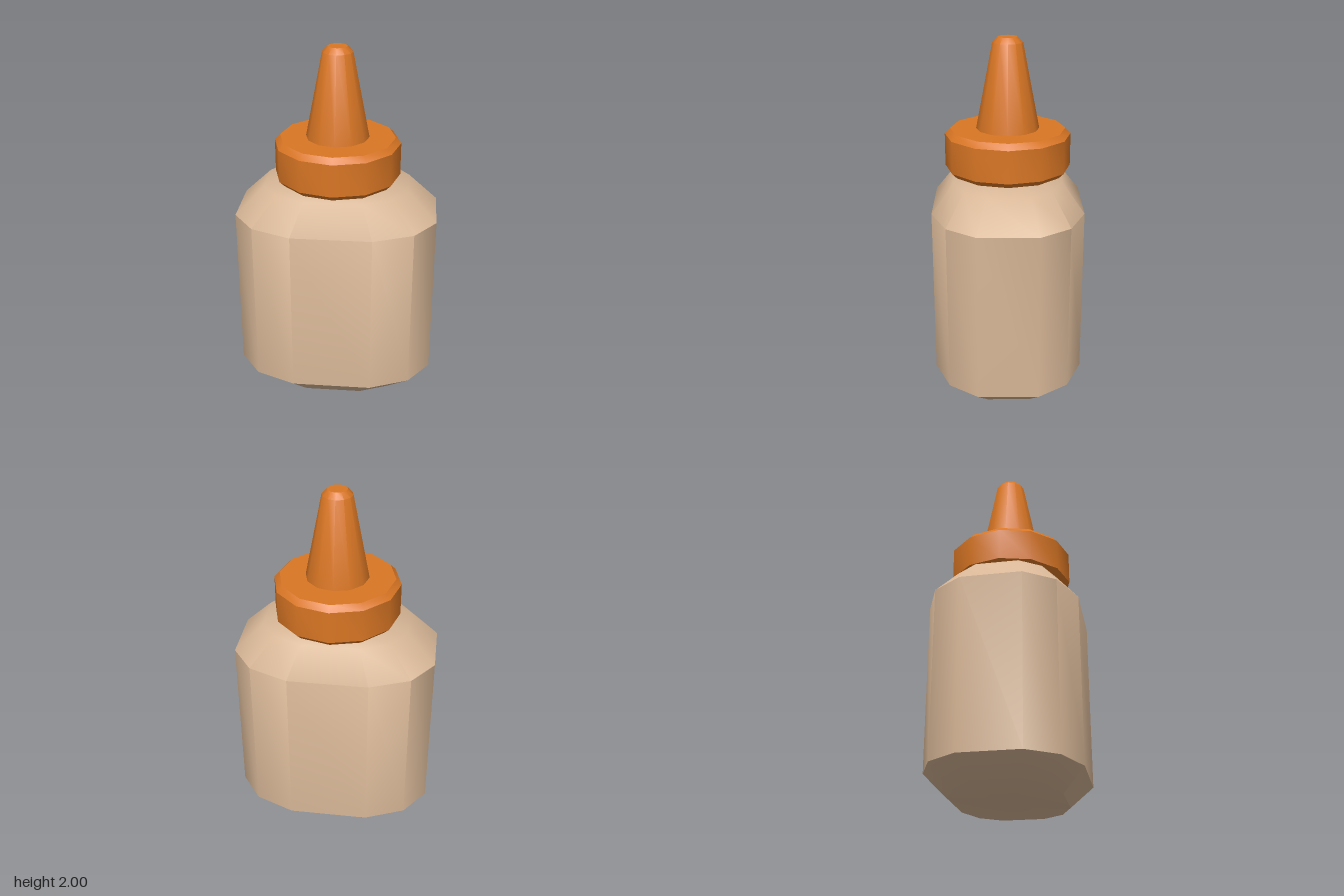
import * as THREE from 'three';
import { toCreasedNormals } from 'three/addons/utils/BufferGeometryUtils.js';

const SIDES = 12;

// Twelve-sided revolved shape from [radius, height] pairs, listed bottom to top
function turned(profile) {
  return new THREE.LatheGeometry(profile.map(([r, y]) => new THREE.Vector2(r, y)), SIDES);
}

function part(name, geometry, material, creaseDegrees) {
  const mesh = new THREE.Mesh(toCreasedNormals(geometry, THREE.MathUtils.degToRad(creaseDegrees)), material);
  mesh.name = name;
  return mesh;
}

// Footprint of the bottle: one quarter mirrored into an oblong outline
function bottleOutline() {
  const quarter = [[0.22, 0.42], [0.44, 0.33], [0.56, 0.166]];
  const back = [...quarter].reverse();
  return [
    ...quarter,
    ...back.map(([x, z]) => [x, -z]),
    ...quarter.map(([x, z]) => [-x, -z]),
    ...back.map(([x, z]) => [-x, z]),
  ];
}

// Bottle: turned profile whose rings are stretched onto the outline
function bottleGeometry() {
  const profile = [[0, 0], [0.715, 0], [1, 0.12], [1, 1.07], [0.715, 1.23], [0.4, 1.26], [0, 1.26]];
  const geometry = turned(profile);
  const outline = bottleOutline();
  const position = geometry.attributes.position;
  for (let i = 0; i < position.count; i++) {
    const [x, z] = outline[Math.floor(i / profile.length) % SIDES];
    const [scale, y] = profile[i % profile.length];
    position.setXYZ(i, x * scale, y, z * scale);
  }
  return geometry;
}

export function createModel() {
  const tan = new THREE.MeshStandardMaterial({ color: 0xd8b797 });
  tan.name = 'tan plastic';
  const orange = new THREE.MeshStandardMaterial({ color: 0xd97624 });
  orange.name = 'orange plastic';

  const model = new THREE.Group();
  model.name = 'squeezeBottle';

  model.add(part('bottle', bottleGeometry(), tan, 44));

  // Screw cap with bevelled rims
  const cap = turned([[0, 1.255], [0.32, 1.255], [0.35, 1.285], [0.35, 1.467], [0.32, 1.498], [0, 1.498]]);
  model.add(part('cap', cap, orange, 40));

  // Tapered nozzle with a bevelled tip
  const nozzle = turned([[0.176, 1.49], [0.175, 1.498], [0.083, 1.97], [0.054, 2], [0, 2]]);
  model.add(part('nozzle', nozzle, orange, 40));

  return model;
}
